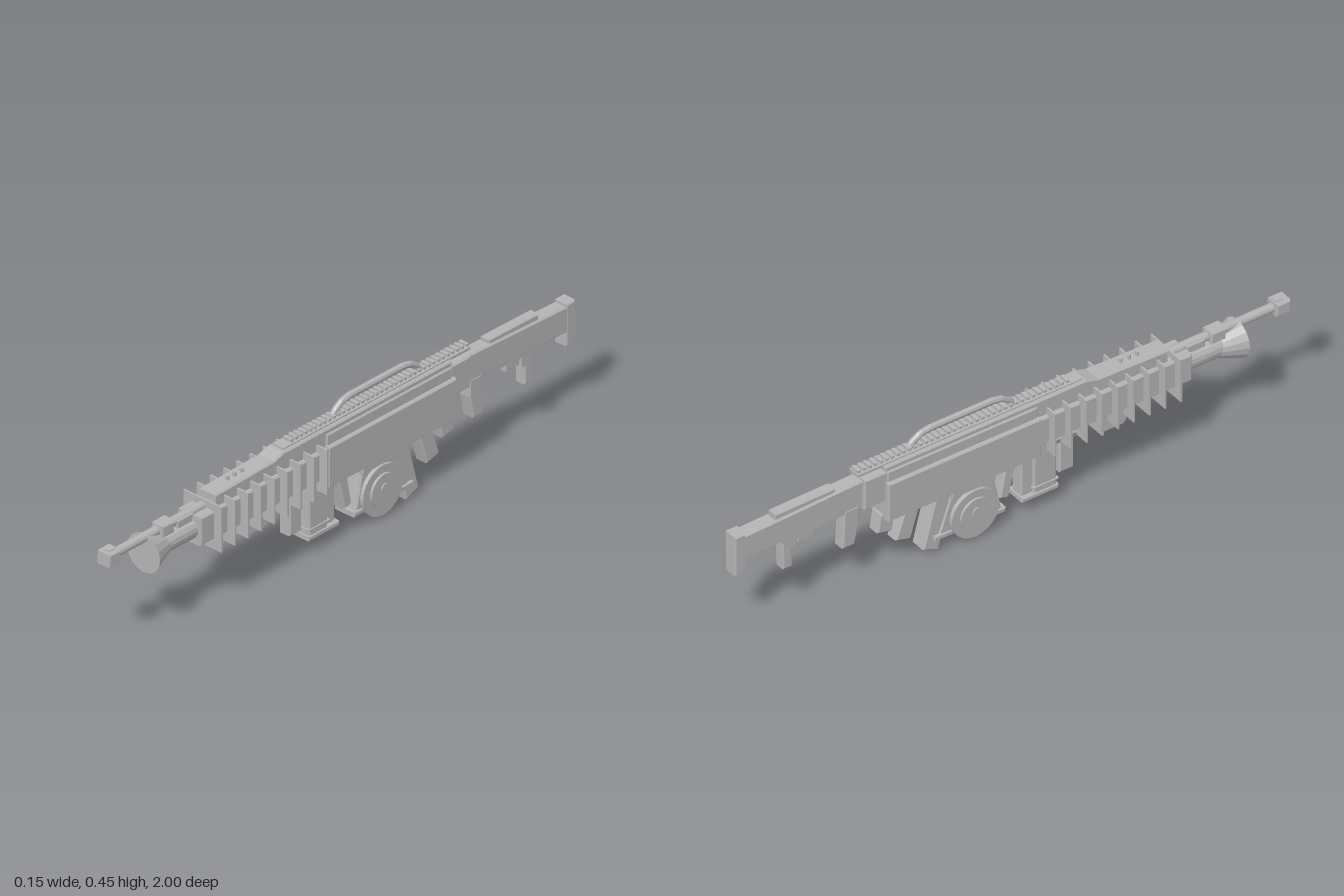
import * as THREE from 'three';

export function createModel() {
  const model = new THREE.Group();
  const metal = new THREE.MeshStandardMaterial({ color: 0xb4b4b4, flatShading: true });
  metal.name = 'grey metal';

  const add = (name, geometry) => {
    const mesh = new THREE.Mesh(geometry, metal);
    mesh.name = name;
    model.add(mesh);
    return mesh;
  };

  // Side profile given as [z, y] corners, extruded across x with chamfered edges
  const plate = (name, points, halfWidth, bevel = 0.005) => {
    const shape = new THREE.Shape(points.map(([z, y]) => new THREE.Vector2(z, y)));
    const depth = 2 * (halfWidth - bevel);
    const g = new THREE.ExtrudeGeometry(shape, {
      depth, bevelEnabled: bevel > 0, bevelSize: bevel, bevelThickness: bevel,
      bevelOffset: -bevel, bevelSegments: 1,
    });
    g.translate(0, 0, -depth / 2);
    g.rotateY(-Math.PI / 2);
    return add(name, g);
  };
  const box = (name, z0, z1, y0, y1, halfWidth, bevel = 0.005) =>
    plate(name, [[z0, y0], [z1, y0], [z1, y1], [z0, y1]], halfWidth, bevel);

  // Round part along the z axis
  const rod = (name, z0, z1, y, rBack, rFront = rBack, sides = 16) => {
    const g = new THREE.CylinderGeometry(rFront, rBack, z1 - z0, sides);
    g.rotateX(Math.PI / 2);
    g.translate(0, y, (z0 + z1) / 2);
    return add(name, g);
  };
  // Round part along the x axis
  const disc = (name, halfWidth, r, z, y, sides = 32) => {
    const g = new THREE.CylinderGeometry(r, r, halfWidth * 2, sides);
    g.rotateZ(Math.PI / 2);
    g.translate(0, y, z);
    return add(name, g);
  };

  // Barrels and muzzle
  rod('upperBarrel', 0.5, 0.97, 0.337, 0.015);
  box('muzzleBlock', 0.95, 1, 0.316, 0.36, 0.027);
  box('muzzleSight', 0.955, 0.985, 0.355, 0.364, 0.012, 0.002);
  box('barrelClamp', 0.715, 0.77, 0.315, 0.357, 0.024);
  rod('lowerBarrel', 0.6, 0.77, 0.287, 0.036);
  rod('flareCone', 0.73, 0.825, 0.283, 0.03, 0.066);
  box('barrelLink', 0.63, 0.7, 0.3, 0.345, 0.018);

  // Fore end with cooling fins
  box('foreEnd', 0.05, 0.63, 0.238, 0.335, 0.047);
  for (let i = 0; i < 9; i++) {
    const z = 0.57 - i * 0.0565;
    box('coolingFin', z - 0.003, z + 0.003, 0.205, 0.359, 0.077, 0);
  }
  plate('topCover', [[0.555, 0.325], [0.555, 0.375], [0.3, 0.382], [0.26, 0.394],
    [-0.465, 0.394], [-0.465, 0.325]].reverse(), 0.033);
  box('coverStep', -0.46, 0.08, 0.33, 0.378, 0.038);
  for (const z of [0.465, 0.435, 0.405]) {
    const g = new THREE.CylinderGeometry(0.006, 0.006, 0.024, 8);
    g.translate(0, 0.38, z);
    add('coverStud', g);
  }

  // Receiver
  box('receiver', -0.465, 0.085, 0.2, 0.34, 0.05);
  box('railBase', -0.555, 0.25, 0.388, 0.4, 0.022, 0.002);
  for (let i = 0; i < 38; i++) {
    const z = 0.205 - i * 0.0203;
    box('railTooth', z - 0.0055, z + 0.0055, 0.398, 0.409, 0.016, 0);
  }

  // Carrying handle
  const path = new THREE.CurvePath();
  const pts = [[0.015, 0.4], [0.005, 0.415], [-0.025, 0.434], [-0.06, 0.44],
    [-0.28, 0.44], [-0.315, 0.434], [-0.345, 0.415], [-0.355, 0.4]]
    .map(([z, y]) => new THREE.Vector3(0, y, z));
  for (let i = 1; i < pts.length; i++) path.add(new THREE.LineCurve3(pts[i - 1], pts[i]));
  add('carryHandle', new THREE.TubeGeometry(path, 70, 0.0105, 8));

  // Stock
  box('stockCollar', -0.54, -0.455, 0.27, 0.378, 0.035);
  plate('stock', [[-0.53, 0.283], [-0.53, 0.374], [-0.97, 0.357], [-0.97, 0.268]], 0.025);
  plate('stockUnderRail', [[-0.53, 0.272], [-0.53, 0.29], [-0.83, 0.28], [-0.83, 0.258]], 0.02, 0.003);
  plate('cheekRest', [[-0.635, 0.36], [-0.635, 0.383], [-0.85, 0.38], [-0.85, 0.355]], 0.018, 0.003);
  box('buttPlate', -1, -0.96, 0.222, 0.366, 0.026);
  plate('rearStockLug', [[-0.77, 0.28], [-0.825, 0.28], [-0.822, 0.165], [-0.787, 0.165],
    [-0.787, 0.225], [-0.77, 0.225]].reverse(), 0.02);
  box('stockLedge', -0.77, -0.71, 0.24, 0.275, 0.016, 0.003);
  plate('frontStockLug', [[-0.55, 0.285], [-0.603, 0.285], [-0.61, 0.148], [-0.565, 0.148],
    [-0.55, 0.225]].reverse(), 0.022);

  // Under-receiver grips and lugs
  plate('rearLug', [[-0.415, 0.215], [-0.475, 0.215], [-0.485, 0.15], [-0.432, 0.138]].reverse(), 0.023);
  plate('rearGrip', [[-0.325, 0.215], [-0.38, 0.215], [-0.42, 0.095], [-0.365, 0.08]].reverse(), 0.024);
  plate('grip', [[-0.215, 0.215], [-0.275, 0.215], [-0.325, 0.022], [-0.27, 0]].reverse(), 0.03);
  plate('triggerLeg', [[0.02, 0.215], [-0.02, 0.215], [-0.045, 0.085], [-0.012, 0.075]].reverse(), 0.023);

  // Drum magazine and its housing
  plate('drumHousing', [[-0.08, 0.21], [-0.22, 0.21], [-0.275, 0.05], [-0.045, 0.05]].reverse(), 0.035);
  box('housingFoot', -0.29, -0.035, 0.045, 0.062, 0.04, 0.003);
  box('drumMount', -0.23, -0.07, 0.175, 0.21, 0.042);
  disc('drum', 0.048, 0.085, -0.15, 0.094);
  disc('drumPlate', 0.056, 0.056, -0.15, 0.096);
  disc('drumHub', 0.06, 0.017, -0.15, 0.105, 16);

  // Front magazine
  box('frontMagazine', 0.07, 0.152, 0.055, 0.25, 0.034);
  box('magazineSpine', 0.03, 0.075, 0.055, 0.22, 0.024);
  box('magazineBase', 0.025, 0.157, 0.046, 0.062, 0.038, 0.003);
  box('magazineCollar', 0.065, 0.157, 0.078, 0.085, 0.037, 0.002);

  // Lugs below the fore end
  box('middleLug', 0.17, 0.222, 0.085, 0.245, 0.023);
  rod('lugCollar', 0.14, 0.25, 0.215, 0.028, 0.028, 8);
  plate('frontLug', [[0.412, 0.25], [0.412, 0.178], [0.4, 0.165], [0.325, 0.165],
    [0.31, 0.18], [0.31, 0.25]].reverse(), 0.025);

  return model;
}
